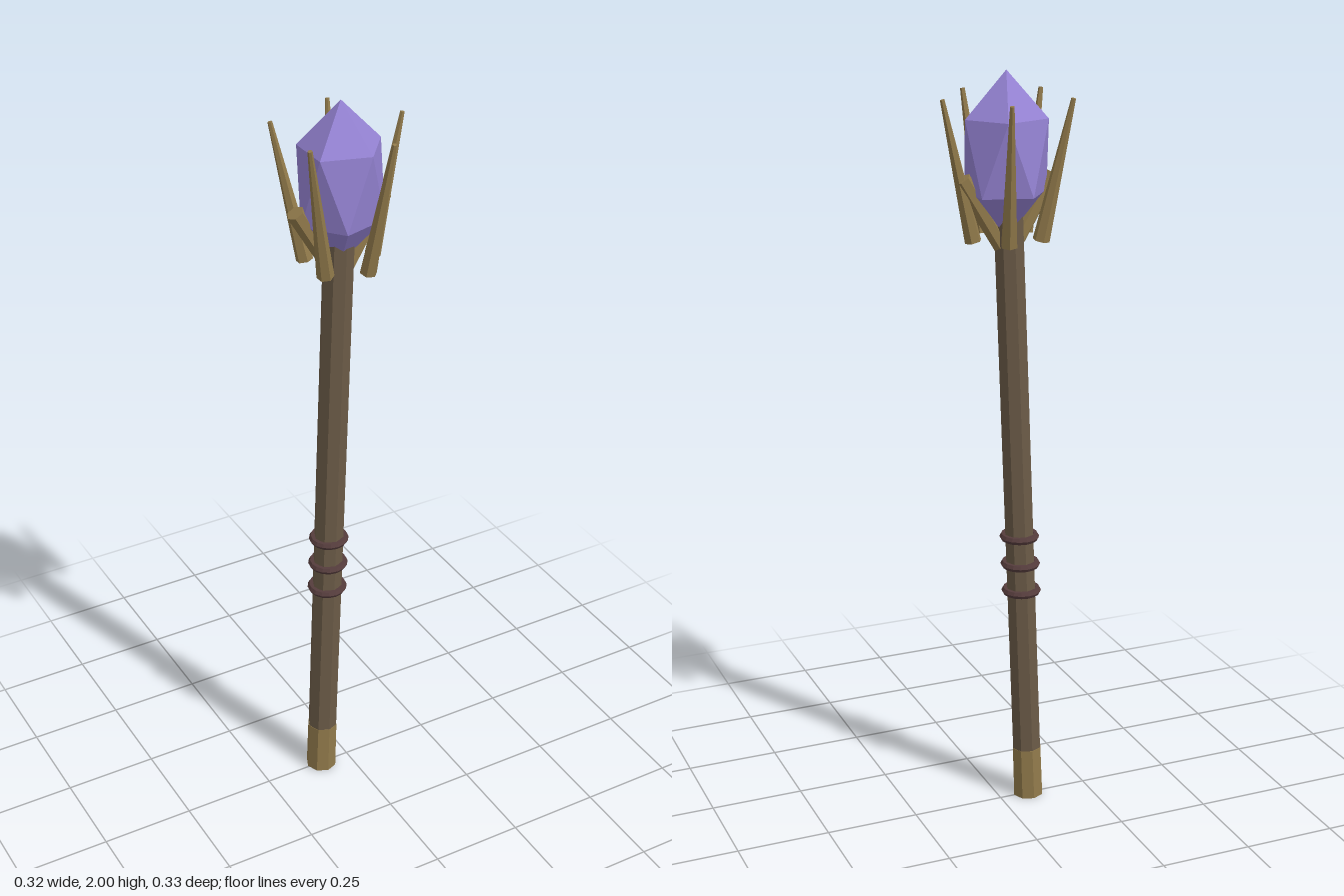
import * as THREE from 'three';

const mat = (color) => new THREE.MeshStandardMaterial({ color, flatShading: true });
const UP = new THREE.Vector3(0, 1, 0);
const HEAD_X = -0.015; // centre of the crown and crystal

export function createModel() {
  const group = new THREE.Group();
  const wood = mat(0x6b5b47);
  const brass = mat(0x917a4b);
  const leather = mat(0x553c3c);
  const gem = mat(0x9482d2);

  const add = (name, geometry, material) => {
    const mesh = new THREE.Mesh(geometry, material);
    mesh.name = name;
    group.add(mesh);
    return mesh;
  };

  // Faceted rod running from point a to point b
  const rod = (name, a, b, rA, rB, sides, material, turn = 0) => {
    const dir = b.clone().sub(a);
    const geo = new THREE.CylinderGeometry(rB, rA, dir.length(), sides);
    geo.rotateY(turn);
    const mesh = add(name, geo, material);
    mesh.position.copy(a).add(b).multiplyScalar(0.5);
    mesh.quaternion.setFromUnitVectors(UP, dir.normalize());
    return mesh;
  };

  // Slightly leaning shaft with a metal foot
  const axis = (y) => new THREE.Vector3(-0.083 + 0.038 * y, y, 0);
  rod('shaft', axis(0.14), axis(1.64), 0.04, 0.04, 8, wood);
  rod('footCap', axis(0.002), axis(0.147), 0.042, 0.041, 8, brass);

  // Grip rings
  for (const y of [0.615, 0.692, 0.77]) {
    const ring = add('gripRing', new THREE.TorusGeometry(0.043, 0.01, 6, 16).rotateX(Math.PI / 2), leather);
    ring.position.copy(axis(y));
  }

  // Crown of five spikes leaning outwards
  for (let i = 0; i < 5; i++) {
    const a = (i / 5) * Math.PI * 2;
    const at = (r, y) => new THREE.Vector3(HEAD_X + r * Math.cos(a), y, r * Math.sin(a));
    rod('crownSpike', at(0.09, 1.578), at(0.169, 1.936), 0.022, 0.006, 6, brass, -a + Math.PI / 6);
  }

  // Two short side prongs branching from the shaft
  for (const s of [-1, 1]) {
    rod(s < 0 ? 'rightProng' : 'leftProng',
      new THREE.Vector3(-0.02 + s * 0.012, 1.55, 0),
      new THREE.Vector3(-0.018 + s * 0.122, 1.737, 0),
      0.021, 0.023, 6, brass, Math.PI / 6);
  }

  // Crystal: stretched icosahedron standing on its point
  const verts = [0, 1, 0];
  for (let ring = 0; ring < 2; ring++) {
    for (let i = 0; i < 5; i++) {
      const a = ((i + ring / 2) / 5) * Math.PI * 2;
      verts.push(0.894 * Math.cos(a), ring ? -0.447 : 0.447, 0.894 * Math.sin(a));
    }
  }
  verts.push(0, -1, 0);
  const faces = [];
  for (let i = 0; i < 5; i++) {
    const u = 1 + i, un = 1 + ((i + 1) % 5), l = 6 + i, ln = 6 + ((i + 1) % 5);
    faces.push(0, un, u, u, un, l, un, ln, l, 11, l, ln);
  }
  const crystal = add('crystal', new THREE.PolyhedronGeometry(verts, faces, 1, 0), gem);
  crystal.scale.set(0.123, 0.211, 0.112);
  crystal.position.set(HEAD_X, 1.789, 0);

  return group;
}
